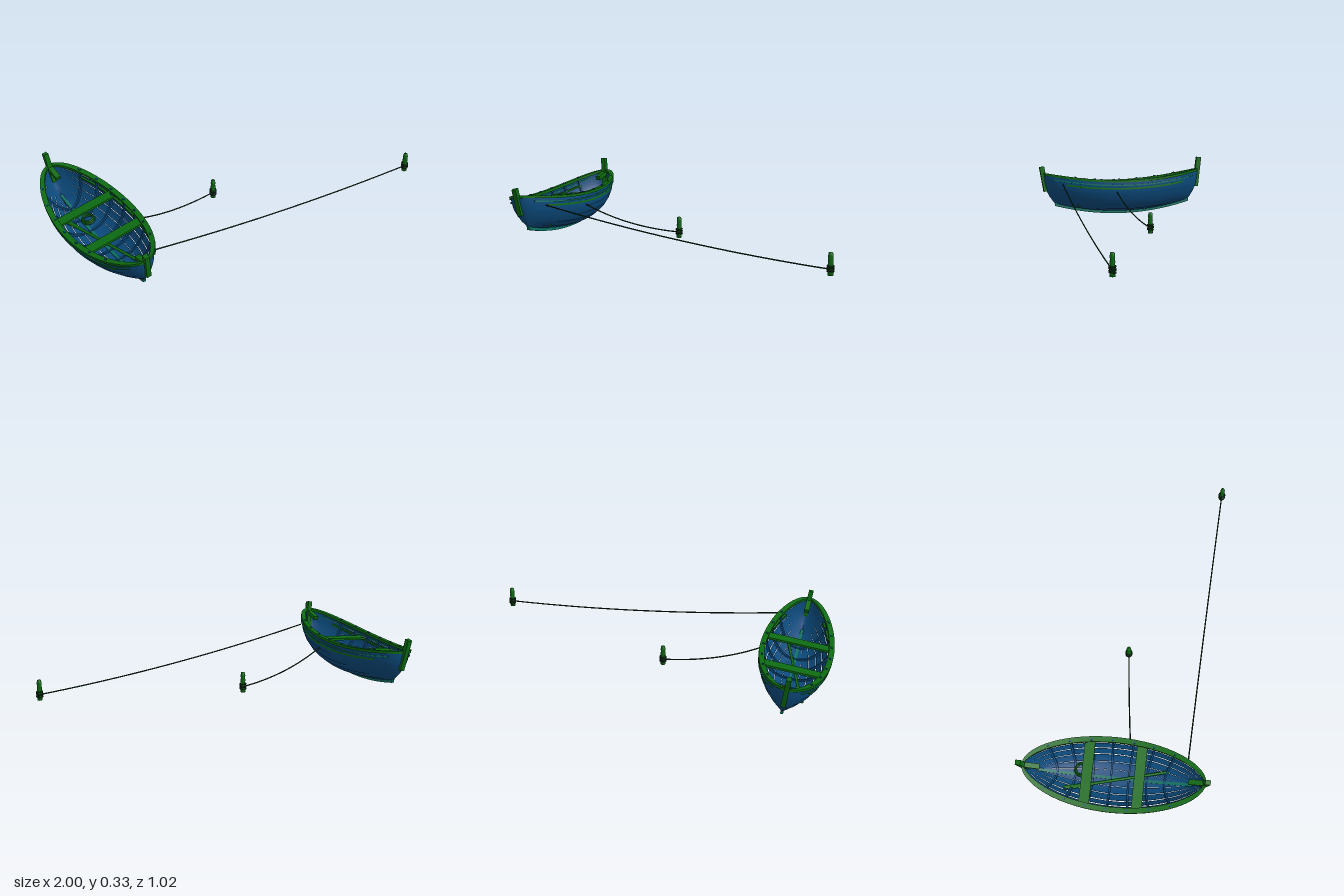
import * as THREE from 'three';
import { toCreasedNormals } from 'three/addons/utils/BufferGeometryUtils.js';

const mat = (color) => new THREE.MeshStandardMaterial({ color, side: THREE.DoubleSide });
const wood = mat(0x0c6a12), planks = mat(0x0b4a7c), teal = mat(0x0c6f60), ropeMat = mat(0x0b2c12);
const V = (x, y, z) => new THREE.Vector3(x, y, z);

// Hull form: t runs stern to bow (-1..1), s runs keel to sheer (0..1)
const section = new THREE.SplineCurve([
  [0, 0], [0.23, 0.01], [0.45, 0.07], [0.65, 0.2], [0.8, 0.37], [0.92, 0.58], [0.98, 0.8], [1, 1],
].map(([x, y]) => new THREE.Vector2(x, y)));
const width = (t) => 0.19 * Math.pow(Math.max(0, 1 - t * t), 0.57);
const sheer = (t) => 0.205 + 0.057 * t * t;
const keelLine = (t) => 0.02 + 0.06 * t * t;
const reach = (v) => 0.42 + 0.065 * (1 - Math.pow(1 - Math.min(1, v), 2.5));

function hullPoint(t, s, side, out = 0) {
  const p = section.getPoint(s);
  const u = width(t) * Math.pow(Math.max(0, p.x), 1 + 0.5 * t * t);
  const k = keelLine(t);
  const fade = 1 - t * t * t * t;
  return V(side * Math.max(0, u + out * fade * Math.min(1, p.x * 1.5)),
    k + (sheer(t) - k) * p.y - out * (1 - p.y) * 0.8, t * reach(p.y));
}

// Skin a list of cross-sections; closed rings get end caps
function loft(rows, closed) {
  if (closed) {
    const mid = (r) => {
      const c = r.reduce((a, p) => a.add(p), V(0, 0, 0)).divideScalar(r.length);
      return r.map(() => c);
    };
    rows = [mid(rows[0]), ...rows, mid(rows[rows.length - 1])].map((r) => [...r, r[0]]);
  }
  const n = rows[0].length, index = [];
  for (let i = 0; i < rows.length - 1; i++) {
    for (let j = 0; j < n - 1; j++) {
      const a = i * n + j, b = a + n;
      index.push(a, b, a + 1, b, b + 1, a + 1);
    }
  }
  const geo = new THREE.BufferGeometry().setFromPoints(rows.flat());
  geo.setIndex(index);
  return toCreasedNormals(geo, 0.6);
}

function add(parent, name, geo, material, pos) {
  const mesh = new THREE.Mesh(geo, material);
  mesh.name = name;
  if (pos) mesh.position.copy(pos);
  parent.add(mesh);
  return mesh;
}

const steps = (n, a, b, fn) => Array.from({ length: n + 1 }, (_, i) => fn(a + (b - a) * i / n));

// Rectangular rail following the sheer on one side
const rail = (side, tEnd, inner, outer, low, high) => loft(steps(32, -tEnd, tEnd, (t) => {
  const q = Math.sin(t * Math.PI / 2 / tEnd) * tEnd;
  const w = width(q), y = sheer(q), z = q * reach(1);
  const a = side * Math.max(0, w + inner), b = side * Math.max(0, w + outer);
  return [V(a, y + low, z), V(b, y + low, z), V(b, y + high, z), V(a, y + high, z)];
}), true);

// Round bar between two points
function bar(parent, name, a, b, r0, r1, material) {
  const d = b.clone().sub(a);
  const m = add(parent, name, new THREE.CylinderGeometry(r1, r0, d.length(), 10), material,
    a.clone().add(b).multiplyScalar(0.5));
  m.quaternion.setFromUnitVectors(V(0, 1, 0), d.normalize());
  return m;
}

function createBoat() {
  const boat = new THREE.Group();
  boat.name = 'boat';
  const strakes = 7;

  for (const side of [-1, 1]) {
    // Overlapping planks
    for (let k = 0; k < strakes; k++) {
      add(boat, 'plank', loft(steps(36, -1, 1, (t) => {
        const q = Math.sin(t * Math.PI / 2);
        return steps(4, 0, 1, (f) => hullPoint(q, (k + f) / strakes, side, k ? 0.004 * (1 - f) : 0));
      })), planks);
    }
    add(boat, 'gunwale', rail(side, 1, -0.02, 0.01, -0.012, 0.003), wood);
    add(boat, 'rubbingStrake', rail(side, 0.9, -0.004, 0.007, -0.034, -0.026), teal);
    add(boat, 'seatRiser', rail(side, 0.75, -0.016, -0.004, -0.055, -0.045), wood);
  }

  // Keel
  add(boat, 'keel', loft(steps(28, -1, 1, (t) => {
    const y = keelLine(t), z = t * 0.42;
    return [V(-0.008, y - 0.018, z), V(0.008, y - 0.018, z), V(0.008, y + 0.005, z), V(-0.008, y + 0.005, z)];
  }), true), teal);

  // Ribs, with heads standing just above the rail
  for (let i = 0; i < 7; i++) {
    const t = (-0.36 + i * 0.112) / 0.485;
    const dt = 0.012;
    add(boat, 'rib', loft(steps(28, -1, 1, (s) => {
      const side = s < 0 ? -1 : 1, a = Math.abs(s);
      const lift = a > 0.99 ? 0.008 : 0;
      const at = (q, inset) => {
        const p = hullPoint(q, a, side, -inset);
        p.y += lift;
        return p;
      };
      return [at(t - dt, 0.002), at(t + dt, 0.002), at(t + dt, 0.012), at(t - dt, 0.012)];
    }), true), planks);
  }

  // Thwarts
  for (const z of [-0.145, 0.135]) {
    add(boat, 'thwart', new THREE.BoxGeometry(0.345, 0.012, 0.056), wood, V(0, 0.168, z));
  }

  // Stem and stern posts with knees
  for (const end of [-1, 1]) {
    const tall = end < 0 ? 0.183 : 0.153;
    const post = add(boat, end > 0 ? 'stemPost' : 'sternPost',
      new THREE.BoxGeometry(0.026, tall, 0.029).translate(0, tall / 2, 0), wood, V(0, 0.152, end * 0.472));
    post.rotation.x = end * 0.15;
    const knee = add(boat, 'knee', new THREE.BoxGeometry(0.028, 0.022, 0.08), wood, V(0, 0.232, end * 0.435));
    knee.rotation.x = -end * 0.25;
  }

  // Oar lying on the bottom, under the thwarts
  const handle = V(0.06, 0.062, 0.29), tip = V(-0.085, 0.062, -0.27);
  bar(boat, 'oarShaft', handle, tip, 0.008, 0.008, wood);
  const blade = bar(boat, 'oarBlade', handle.clone().lerp(tip, 0.72), tip, 0.009, 0.014, wood);
  blade.scale.z = 0.6;

  // Coiled line
  for (let i = 0; i < 3; i++) {
    const ring = add(boat, 'ropeCoil', new THREE.TorusGeometry(0.034 - i * 0.003, 0.005, 6, 20), wood,
      V(0.025, 0.045 + i * 0.008, -0.185));
    ring.rotation.x = Math.PI / 2;
  }

  // Heeled slightly to one side
  boat.position.set(-0.773, 0.005, 0);
  boat.rotation.z = 0.13;
  return boat;
}

// Mooring post with turns of rope around it
function createMooringPost(x, z) {
  const g = new THREE.Group();
  g.name = 'mooringPost';
  const profile = [[0, 0.009], [0.014, 0.009], [0.0145, 0.05], [0.0125, 0.065], [0.014, 0.08],
    [0.012, 0.092], [0.0135, 0.106], [0.011, 0.124], [0, 0.128]];
  add(g, 'stake', new THREE.LatheGeometry(profile.map(([r, y]) => new THREE.Vector2(r, y)), 10), wood);
  for (let i = 0; i < 4; i++) {
    const turn = add(g, 'ropeTurn', new THREE.TorusGeometry(0.0165, 0.0038, 6, 18), ropeMat, V(0, 0.03 + i * 0.009, 0));
    turn.rotation.x = Math.PI / 2 + 0.1 * (i % 2 ? 1 : -1);
  }
  g.position.set(x, 0, z);
  return g;
}

export function createModel() {
  const model = new THREE.Group();
  model.name = 'mooredRowingBoat';
  model.add(createBoat());

  // Sagging mooring lines out to their posts
  const lines = [
    [V(-0.685, 0.208, 0.385), V(0.15, 0.068, 0.412), V(0.978, 0.04, 0.445)],
    [V(-0.62, 0.165, 0.07), V(-0.37, 0.045, 0.035), V(-0.058, 0.04, 0.002)],
  ];
  for (const [a, b, c] of lines) {
    add(model, 'mooringLine', new THREE.TubeGeometry(new THREE.QuadraticBezierCurve3(a, b, c), 40, 0.0036, 6), ropeMat);
    model.add(createMooringPost(c.x, c.z));
  }
  return model;
}
